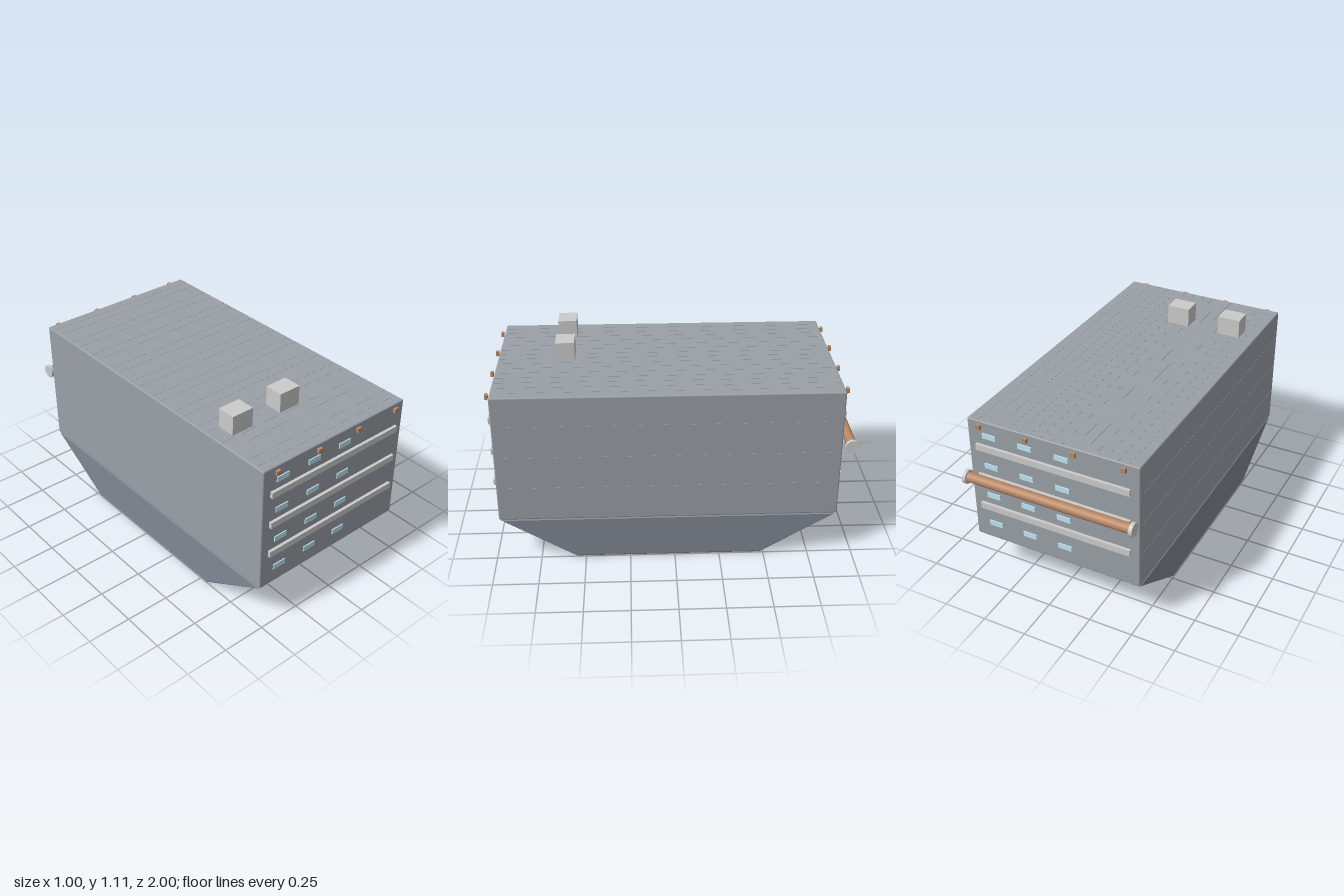
import * as THREE from 'three';
import { RoundedBoxGeometry } from 'three/addons/geometries/RoundedBoxGeometry.js';

const mat = (color) => new THREE.MeshStandardMaterial({ color });
const M = {
  grey: mat(0xcccccc), body: mat(0x9aa0a6), keel: mat(0x818692),
  glass: mat(0xbfe6f5), copper: mat(0xb88763),
};
const Z0 = -0.905, Z1 = 0.973, ZC = (Z0 + Z1) / 2, LEN = Z1 - Z0;

function add(parent, name, geo, material, x, y, z) {
  const m = new THREE.Mesh(geo, material);
  m.name = name;
  m.position.set(x, y, z);
  parent.add(m);
  return m;
}
const box = (parent, name, material, w, h, d, x, y, z) =>
  add(parent, name, new THREE.BoxGeometry(w, h, d), material, x, y, z);

// Bars, windows and pegs of one end wall, built facing +z with the wall at z = 0
function endWall(name) {
  const g = new THREE.Group();
  g.name = name;
  for (const y of [0.467, 0.655, 0.843]) box(g, 'ledge', M.grey, 0.9, 0.036, 0.024, 0, y, 0.005);
  for (const y of [0.355, 0.542, 0.73, 0.917])
    for (const x of [-0.37, -0.155, 0.06]) box(g, 'window', M.glass, 0.081, 0.031, 0.012, x, y, 0);
  for (const x of [-0.42, -0.14, 0.14, 0.42]) box(g, 'peg', M.copper, 0.026, 0.026, 0.016, x, 0.975, 0.019);
  return g;
}

export function createModel() {
  const model = new THREE.Group();
  model.name = 'blockHull';

  // Upper body with softly rounded edges
  add(model, 'body', new RoundedBoxGeometry(1, 0.748, LEN, 2, 0.008), M.body, 0, 0.626, ZC);

  // Tapered keel: side profile extruded across the width
  const b = 0.008;
  const profile = new THREE.Shape([
    [Z0 + 0.02, 0.254 - b], [Z1 - 0.02, 0.254 - b], [0.55, b], [-0.48, b],
  ].map(([z, y]) => new THREE.Vector2(-z, y)));
  const keelGeo = new THREE.ExtrudeGeometry(profile, {
    depth: 1 - 2 * b, bevelEnabled: true, bevelSize: b, bevelThickness: b, bevelSegments: 2,
  });
  keelGeo.translate(0, 0, -0.5 + b);
  keelGeo.rotateY(Math.PI / 2);
  add(model, 'keel', keelGeo, M.keel, 0, 0, 0);

  // Tapering light strip under the keel
  const wedge = new THREE.Shape([
    new THREE.Vector2(-0.49, 0), new THREE.Vector2(0.49, -0.03), new THREE.Vector2(0.49, 0.03),
  ]);
  const wedgeGeo = new THREE.ExtrudeGeometry(wedge, { depth: 0.004, bevelEnabled: false });
  wedgeGeo.rotateX(Math.PI / 2);
  add(model, 'keelStrip', wedgeGeo, M.glass, 0, 0.003, 0.035);

  // Fine seams over the roof
  for (let i = 1; i < 16; i++)
    box(model, 'roofSeamLong', M.body, 0.004, 0.002, LEN - 0.02, -0.5 + i / 16, 1, ZC);
  for (let i = 0; i < 10; i++)
    for (const o of [0.06, 0.128])
      box(model, 'roofSeamCross', M.body, 0.98, 0.002, 0.004, 0, 1, Z0 + i * 0.188 + o);

  // Deck seams along both sides
  for (const s of [-1, 1])
    for (const y of [0.452, 0.64, 0.827])
      box(model, 'sideSeam', M.body, 0.002, 0.004, LEN - 0.02, s * 0.5, y, ZC);

  // End walls: the back is the front turned half round
  const front = endWall('frontWall');
  front.position.z = Z1;
  const back = endWall('backWall');
  back.rotation.y = Math.PI;
  back.position.z = Z0;
  model.add(front, back);

  // Roof blocks
  for (const x of [-0.343, -0.02]) box(model, 'roofBlock', M.grey, 0.133, 0.112, 0.106, x, 1.055, 0.594);

  // Rear roller with end caps
  const rod = new THREE.CylinderGeometry(0.028, 0.028, 0.98, 24);
  add(model, 'roller', rod, M.copper, 0, 0.667, -0.961).rotation.z = Math.PI / 2;
  for (const s of [-1, 1]) {
    const cap = new THREE.CylinderGeometry(0.039, 0.039, 0.02, 24);
    add(model, 'rollerCap', cap, M.grey, s * 0.49, 0.667, -0.961).rotation.z = Math.PI / 2;
  }
  return model;
}
